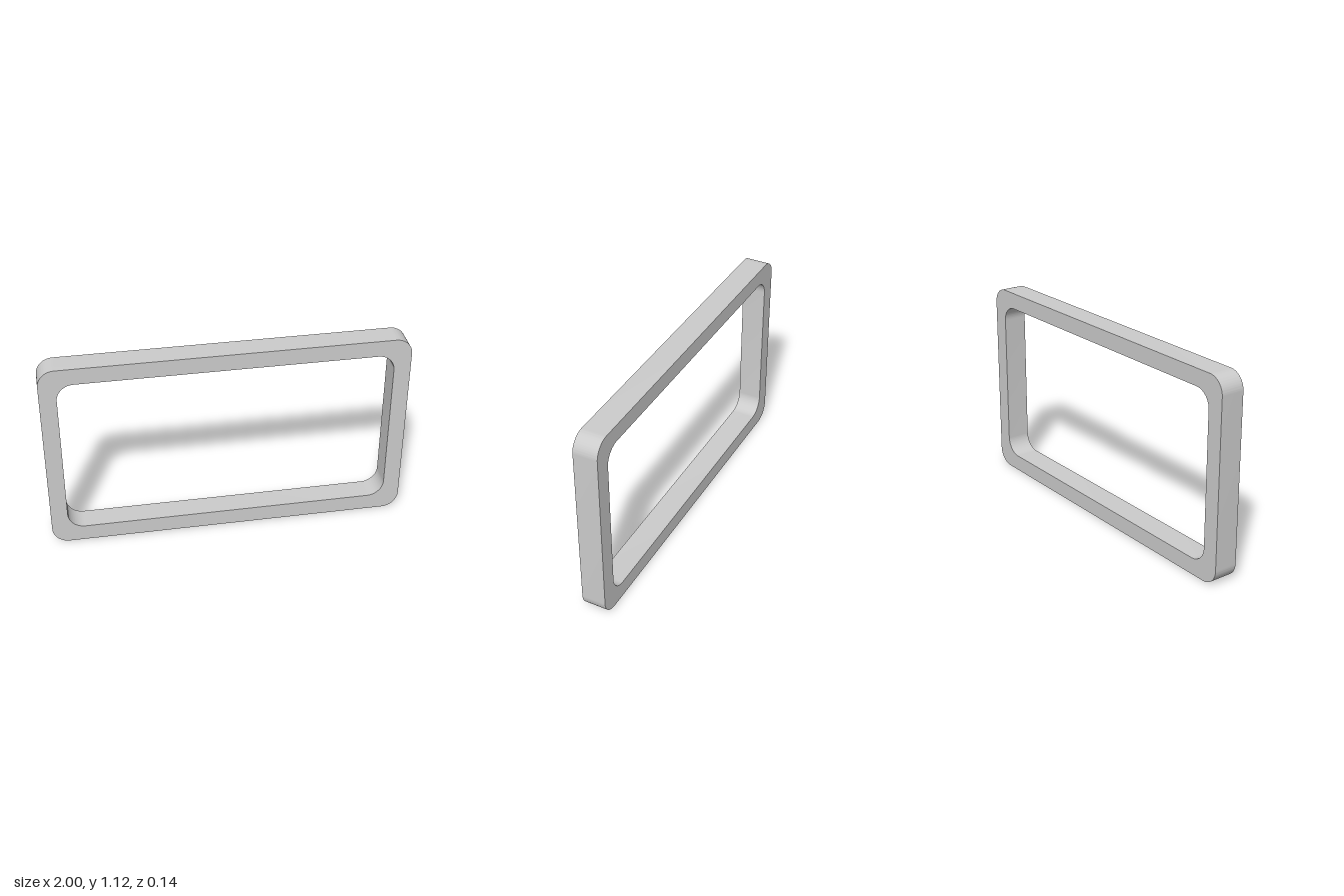
import * as THREE from 'three';
import { toCreasedNormals } from 'three/addons/utils/BufferGeometryUtils.js';

const WIDTH = 2, HEIGHT = 1.125, DEPTH = 0.136, WALL = 0.093, RADIUS = 0.093;

// Rounded rectangle centred on x = 0, from y0 up to y0 + h
function roundedRect(path, w, h, y0, r) {
  const x = w / 2, y1 = y0 + h;
  path.moveTo(-x + r, y0);
  path.lineTo(x - r, y0);
  path.absarc(x - r, y0 + r, r, -Math.PI / 2, 0);
  path.lineTo(x, y1 - r);
  path.absarc(x - r, y1 - r, r, 0, Math.PI / 2);
  path.lineTo(-x + r, y1);
  path.absarc(-x + r, y1 - r, r, Math.PI / 2, Math.PI);
  path.lineTo(-x, y0 + r);
  path.absarc(-x + r, y0 + r, r, Math.PI, Math.PI * 1.5);
  return path;
}

export function createModel() {
  const group = new THREE.Group();
  group.name = 'rectangularFrame';

  // Outer outline with a rounded opening
  const outline = roundedRect(new THREE.Shape(), WIDTH, HEIGHT, 0, RADIUS);
  outline.holes.push(
    roundedRect(new THREE.Path(), WIDTH - 2 * WALL, HEIGHT - 2 * WALL, WALL, RADIUS)
  );

  // Square-edged extrusion, smooth around the corners
  const extruded = new THREE.ExtrudeGeometry(outline, {
    depth: DEPTH, bevelEnabled: false, curveSegments: 16,
  });
  extruded.translate(0, 0, -DEPTH / 2);
  const frame = new THREE.Mesh(
    toCreasedNormals(extruded, Math.PI / 6),
    new THREE.MeshStandardMaterial({ color: 0xcccccc })
  );
  frame.name = 'frame';
  group.add(frame);

  return group;
}
